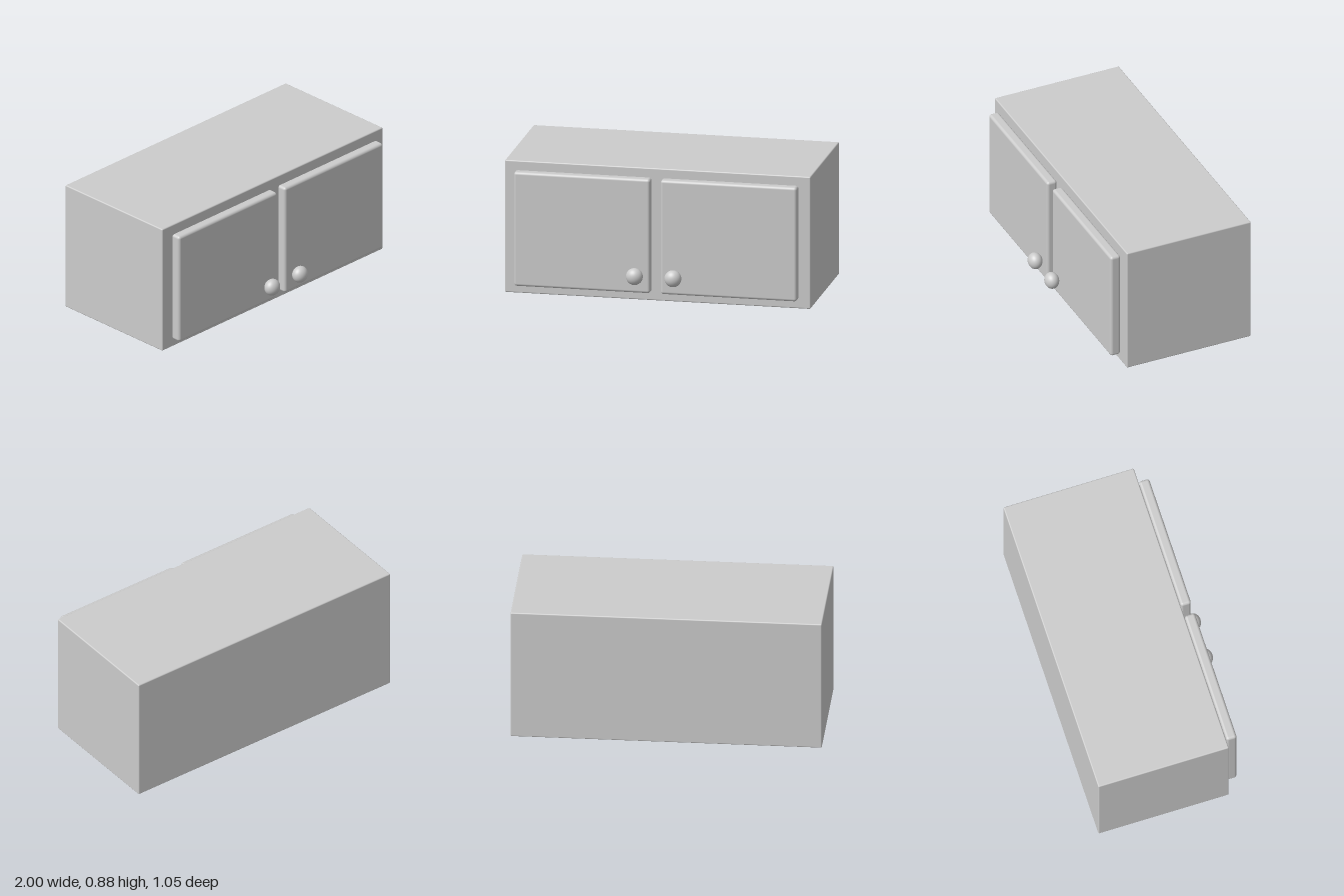
import * as THREE from 'three';
import { RoundedBoxGeometry } from 'three/addons/geometries/RoundedBoxGeometry.js';

export function createModel() {
  const group = new THREE.Group();
  const material = new THREE.MeshStandardMaterial({ color: 0xcccccc });

  const add = (name, geometry, x, y, z) => {
    const mesh = new THREE.Mesh(geometry, material);
    mesh.name = name;
    mesh.position.set(x, y, z);
    group.add(mesh);
    return mesh;
  };

  // Closed cabinet box with slightly softened edges
  add('cabinetBody', new RoundedBoxGeometry(2, 0.876, 0.876, 3, 0.008), 0, 0.438, -0.084);

  // Mirrored pair of doors, standing just off the front, each with a round knob
  const doorGeometry = new RoundedBoxGeometry(0.892, 0.756, 0.07, 3, 0.018);
  const knobGeometry = new THREE.SphereGeometry(0.055, 32, 20);
  for (const [side, label] of [[1, 'left'], [-1, 'right']]) {
    add(label + 'Door', doorGeometry, side * 0.48, 0.442, 0.398);
    add(label + 'Knob', knobGeometry, side * 0.126, 0.185, 0.477).scale.z = 0.85;
  }

  return group;
}
